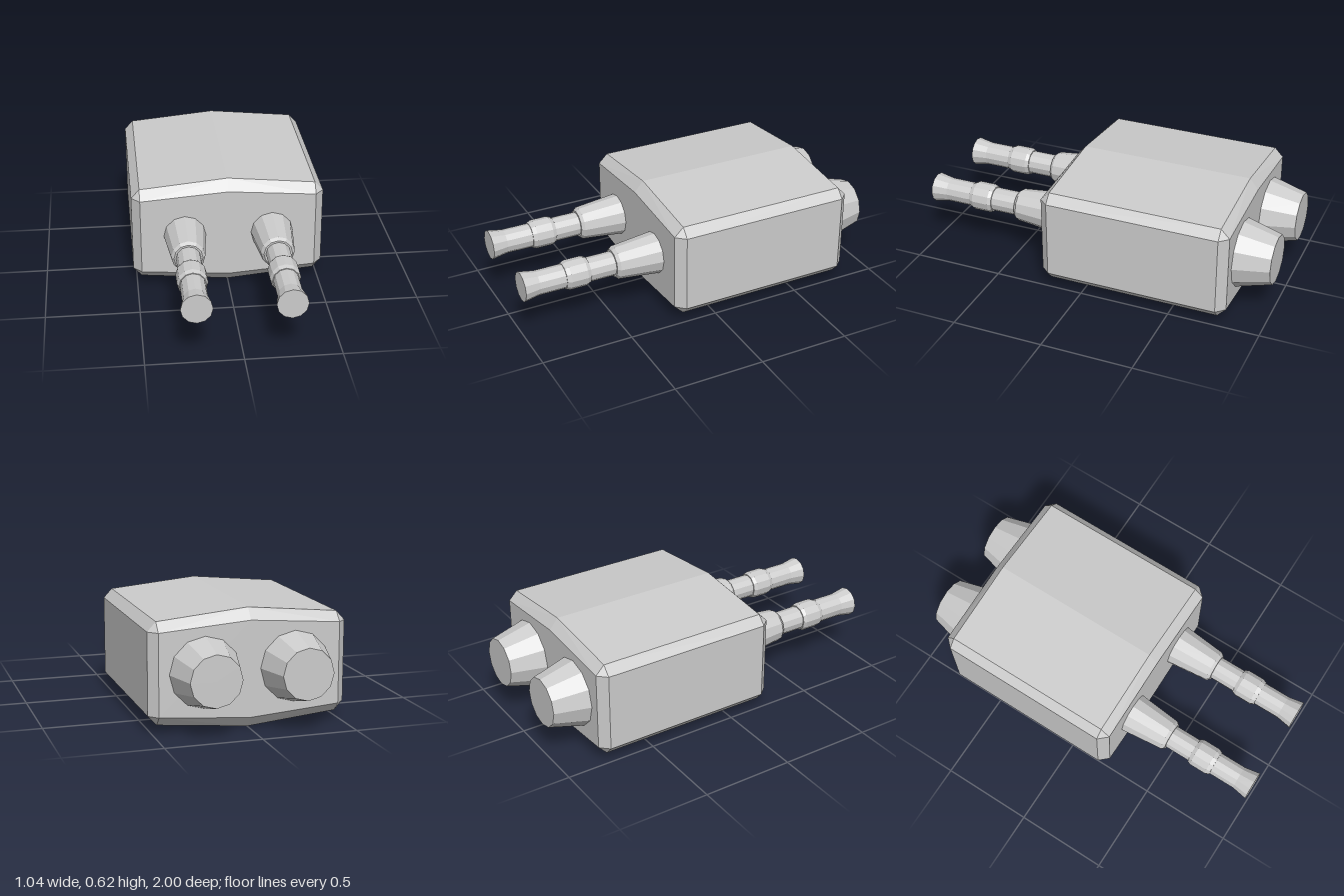
import * as THREE from 'three';
import { ConvexGeometry } from 'three/addons/geometries/ConvexGeometry.js';

const material = new THREE.MeshStandardMaterial({ color: 0xcccccc, flatShading: true });
const MID_Y = 0.31;

// Twelve-sided turned part along z; profile is [radius, z] from back to front
function turned(name, profile, x) {
  const geometry = new THREE.LatheGeometry(profile.map(([r, z]) => new THREE.Vector2(r, z)), 12);
  geometry.rotateX(Math.PI / 2);
  const mesh = new THREE.Mesh(geometry, material);
  mesh.name = name;
  mesh.position.set(x, MID_Y, 0);
  return mesh;
}

// Chamfered housing with a ridge along the middle of its top and bottom
function housing() {
  const points = [];
  const addMirrored = (x, dy, z) => {
    for (const sx of x ? [-1, 1] : [1])
      for (const sy of [-1, 1]) points.push(new THREE.Vector3(sx * x, MID_Y + sy * dy, z));
  };
  for (const [rimZ, capZ] of [[0.185, 0.235], [-0.763, -0.81]]) {
    addMirrored(0.52, 0.213, rimZ);
    addMirrored(0.475, 0.262, rimZ);
    addMirrored(0, 0.308, rimZ);
    addMirrored(0.475, 0.213, capZ);
    addMirrored(0, 0.25, capZ);
  }
  const mesh = new THREE.Mesh(new ConvexGeometry(points), material);
  mesh.name = 'housing';
  return mesh;
}

export function createModel() {
  const group = new THREE.Group();
  group.name = 'twinConnector';
  group.add(housing());

  // Tapered sleeve, pin, collar and flared tip
  const prong = [
    [0, 0.2], [0.118, 0.2], [0.09, 0.47], [0.076, 0.487], [0.066, 0.487],
    [0.066, 0.632], [0.072, 0.632], [0.08, 0.652], [0.08, 0.745], [0.07, 0.768],
    [0.066, 0.768], [0.066, 0.915], [0.081, 1], [0, 1],
  ];
  const boss = [[0, -1], [0.134, -1], [0.184, -0.81], [0.184, -0.79], [0, -0.79]];

  for (const [side, x] of [['left', 0.237], ['right', -0.237]]) {
    group.add(turned(side + 'Prong', prong, x));
    group.add(turned(side + 'RearBoss', boss, x));
  }
  return group;
}
